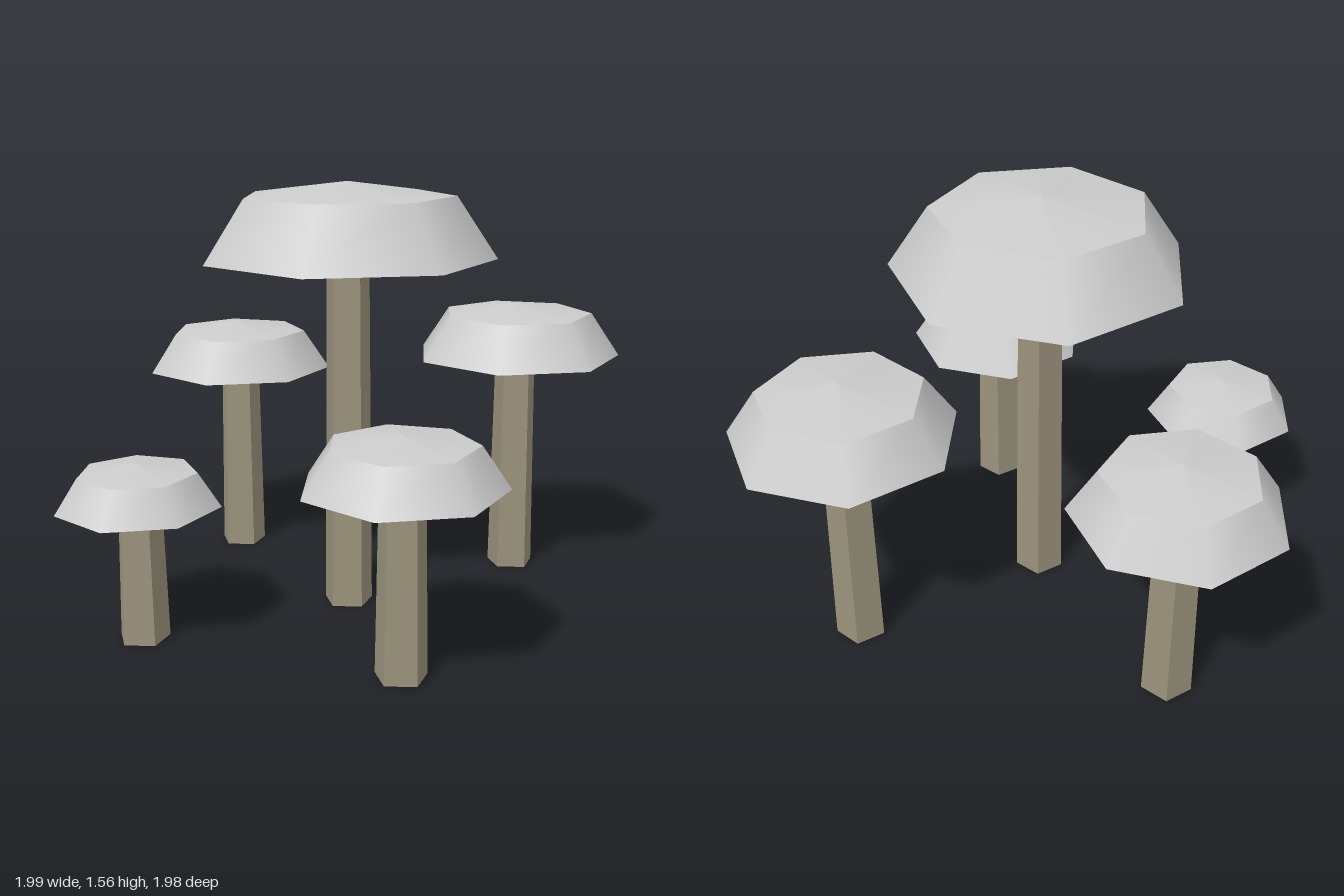
import * as THREE from 'three';

const capMaterial = new THREE.MeshStandardMaterial({ color: 0xcccccc, side: THREE.DoubleSide });
const stemMaterial = new THREE.MeshStandardMaterial({ color: 0x9a927c, flatShading: true });

// x, z, cap radius, then heights of the rim, the shoulder and the tip
const MUSHROOMS = [
  [-0.04, 0.01, 0.53, 1.29, 1.51, 1.56],
  [-0.525, -0.63, 0.37, 0.755, 0.907, 0.945],
  [0.595, -0.42, 0.4, 0.86, 1.025, 1.065],
  [0.168, 0.65, 0.345, 0.648, 0.79, 0.82],
  [-0.738, 0.385, 0.287, 0.485, 0.605, 0.635],
];

function addMesh(group, name, geometry, material, y) {
  const mesh = new THREE.Mesh(geometry, material);
  mesh.name = name;
  mesh.position.y = y;
  group.add(mesh);
}

function createMushroom([x, z, radius, rim, shoulder, tip]) {
  const group = new THREE.Group();
  group.name = 'mushroom';
  group.position.set(x, 0, z);
  const ring = radius * 0.723;

  // five-sided tapered stem, ending inside the hollow cap
  const stemHeight = rim + radius * 0.2;
  addMesh(group, 'stem',
    new THREE.CylinderGeometry(0.079, 0.092, stemHeight, 5, 1, false, Math.PI),
    stemMaterial, stemHeight / 2);

  // hollow seven-sided cap: sloping skirt and shallow top
  addMesh(group, 'capSkirt',
    new THREE.CylinderGeometry(ring, radius, shoulder - rim, 7, 1, true, Math.PI / 2),
    capMaterial, (rim + shoulder) / 2);
  addMesh(group, 'capTop',
    new THREE.ConeGeometry(ring, tip - shoulder, 7, 1, true, Math.PI / 2),
    capMaterial, (shoulder + tip) / 2);
  return group;
}

export function createModel() {
  const model = new THREE.Group();
  model.name = 'mushroomCluster';
  for (const spec of MUSHROOMS) model.add(createMushroom(spec));
  return model;
}
